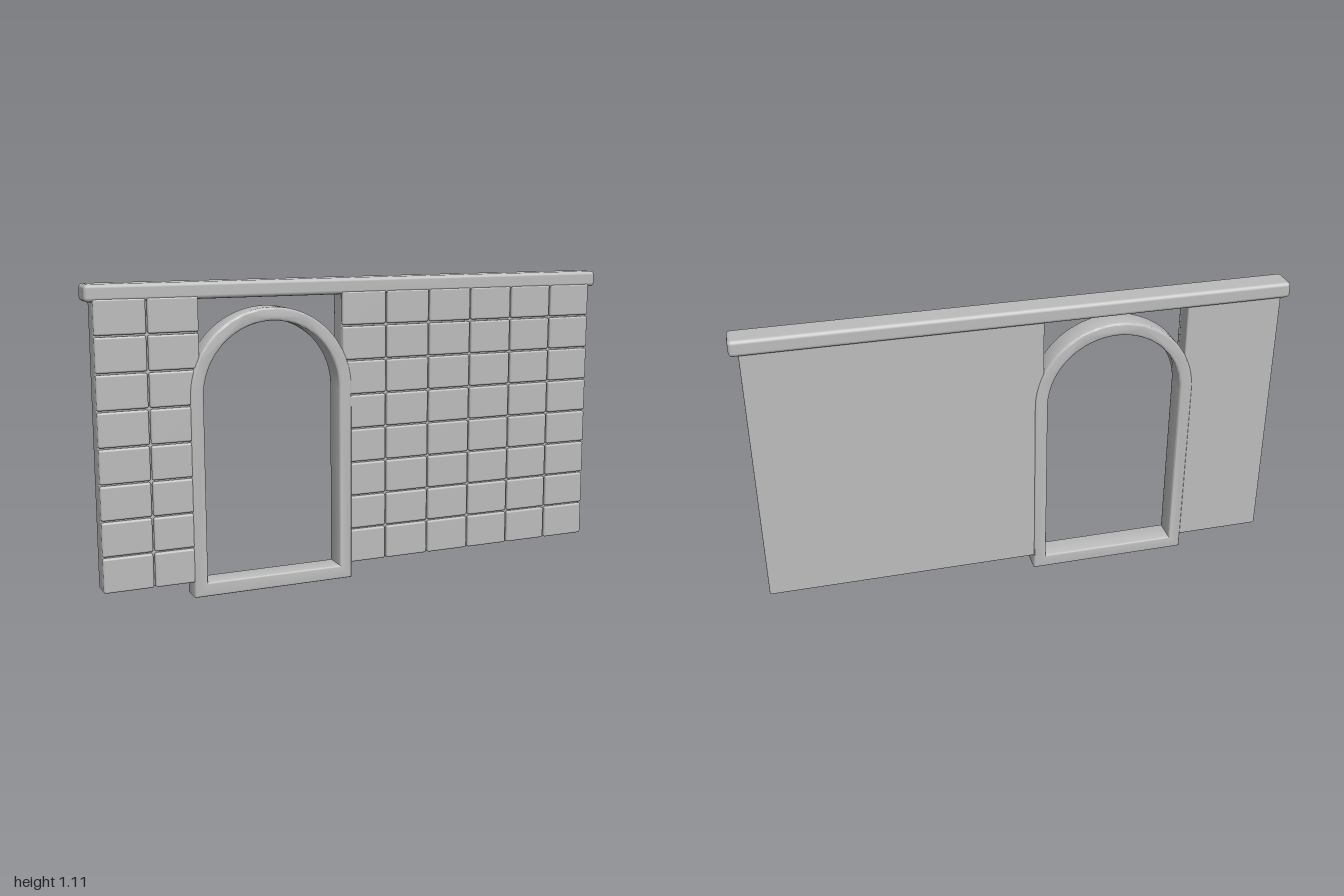
import * as THREE from 'three';
import { toCreasedNormals } from 'three/addons/utils/BufferGeometryUtils.js';
import { RoundedBoxGeometry } from 'three/addons/geometries/RoundedBoxGeometry.js';

const stone = new THREE.MeshStandardMaterial({ color: 0xbcbcbc });
stone.name = 'grey stone';

// Rounded box given by its minimum and maximum corners
function block(name, [x0, y0, z0], [x1, y1, z1], radius) {
  const mesh = new THREE.Mesh(new RoundedBoxGeometry(x1 - x0, y1 - y0, z1 - z0, 2, radius), stone);
  mesh.position.set((x0 + x1) / 2, (y0 + y1) / 2, (z0 + z1) / 2);
  mesh.name = name;
  return mesh;
}

// Backing slab faced with a grid of bricks
function wall(name, x0, x1, columns) {
  const group = new THREE.Group();
  group.name = name;
  const bottom = 0.057, top = 1.067, rows = 8, gap = 0.003;
  const w = (x1 - x0) / columns, h = (top - bottom) / rows;
  group.add(block('wallSlab', [x0, bottom, -0.035], [x1, top, 0.034], 0.006));
  for (let r = 0; r < rows; r++) {
    for (let c = 0; c < columns; c++) {
      const x = x0 + c * w, y = bottom + r * h;
      group.add(block('brick',
        [x + (c > 0 ? gap : 0), y + (r > 0 ? gap : 0), 0.029],
        [x + w - (c < columns - 1 ? gap : 0), y + h - gap, 0.049], 0.007));
    }
  }
  return group;
}

// Round-headed outline, centred on x = 0
function archPath(path, radius, bottom, spring) {
  path.moveTo(-radius, bottom);
  path.lineTo(radius, bottom);
  path.lineTo(radius, spring);
  path.absarc(0, spring, radius, 0, Math.PI, false);
  path.lineTo(-radius, bottom);
  return path;
}

// Arched door frame with a sill and softened edges
function doorFrame() {
  const shape = archPath(new THREE.Shape(), 0.302, 0, 0.717);
  shape.holes.push(archPath(new THREE.Path(), 0.254, 0.052, 0.717));
  const bevel = 0.008, back = -0.04, front = 0.054;
  const geometry = new THREE.ExtrudeGeometry(shape, {
    depth: front - back - 2 * bevel, curveSegments: 32,
    bevelThickness: bevel, bevelSize: bevel, bevelOffset: -bevel, bevelSegments: 3,
  });
  const mesh = new THREE.Mesh(toCreasedNormals(geometry, 0.6), stone);
  mesh.position.set(-0.35, 0, back + bevel);
  mesh.name = 'doorFrame';
  return mesh;
}

export function createModel() {
  const model = new THREE.Group();
  model.name = 'brickWallWithArch';
  model.add(wall('rightWall', -0.973, -0.615, 2));
  model.add(wall('leftWall', -0.081, 0.969, 6));
  model.add(doorFrame());
  model.add(block('capRail', [-1, 1.054, -0.053], [1, 1.113, 0.047], 0.014));
  return model;
}
